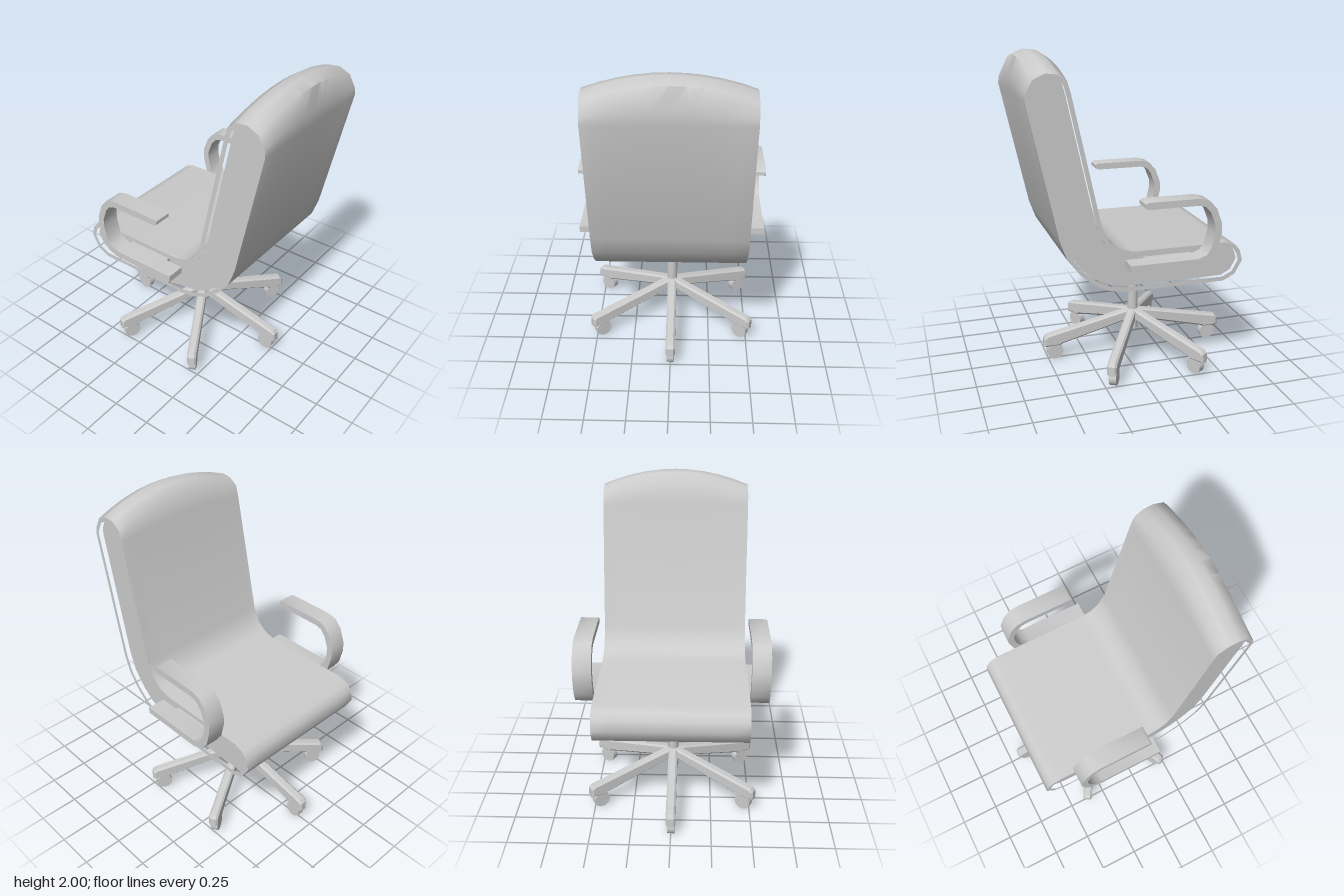
import * as THREE from 'three';
import { toCreasedNormals } from 'three/addons/utils/BufferGeometryUtils.js';

const grey = new THREE.MeshStandardMaterial({ color: 0xcccccc });
const HALF = 0.47;        // half width of the seat shell
const AXIS_Z = -0.08;     // position of the pedestal

function mesh(name, geometry) {
  const m = new THREE.Mesh(geometry, grey);
  m.name = name;
  return m;
}

// Shift every point of a polyline sideways by d, with mitred corners
function offset(pts, d, closed) {
  const n = pts.length;
  return pts.map((p, i) => {
    const a = closed || i > 0 ? pts[(i + n - 1) % n] : null;
    const b = closed || i < n - 1 ? pts[(i + 1) % n] : null;
    const normal = (s, e) => new THREE.Vector2(s.y - e.y, e.x - s.x).normalize();
    const n1 = a ? normal(a, p) : normal(p, b);
    const n2 = b ? normal(p, b) : n1;
    const m = n1.clone().add(n2).normalize();
    return p.clone().addScaledVector(m, d / m.dot(n1));
  });
}

// Extrude a (z, y) outline across x, centred on x = 0
function acrossX(outline, width, steps = 1, hole = null) {
  const shape = new THREE.Shape(outline);
  if (hole) shape.holes.push(new THREE.Path(hole));
  const g = new THREE.ExtrudeGeometry(shape, { depth: width, steps, bevelEnabled: false });
  return g.translate(0, 0, -width / 2).rotateY(-Math.PI / 2);
}

// Crown the top of the backrest: it rises towards the middle
function crown(g) {
  const p = g.attributes.position;
  for (let i = 0; i < p.count; i++) {
    const w = THREE.MathUtils.clamp((p.getY(i) - 1.755) / 0.1, 0, 1) * (1 - (p.getX(i) / HALF) ** 2);
    p.setY(i, p.getY(i) + 0.095 * w);
    p.setZ(i, p.getZ(i) + 0.018 * w);
  }
  return toCreasedNormals(g, 0.9);
}

const vec = ([x, y]) => new THREE.Vector2(x, y);

function seat() {
  const group = new THREE.Group();
  group.name = 'seat';
  // Side outline: underside, front edge, seat, backrest front, top, backrest rear
  const outline = [
    [0.51, 0.952], [0.467, 0.835], [0.39, 0.735], [0.308, 0.665], [0.217, 0.62], [0.11, 0.602],
    [-0.515, 0.602], [-0.59, 0.64], [-0.637, 0.725], [-0.62, 0.79], [-0.59, 0.828], [-0.525, 0.85],
    [0.07, 0.85], [0.155, 0.873], [0.217, 0.926], [0.26, 1.016],
    [0.43, 1.79], [0.45, 1.86], [0.505, 1.898], [0.57, 1.905], [0.64, 1.873], [0.68, 1.80], [0.685, 1.755],
  ].map(vec);
  const area = THREE.ShapeUtils.area(outline);
  const inner = offset(outline, area > 0 ? 0.027 : -0.027, true);
  group.add(mesh('seatShell', crown(acrossX(outline, HALF * 2, 10, inner))));
  // Recessed side panels
  group.add(mesh('sidePanels', crown(acrossX(inner, HALF * 2 - 0.06, 10))));
  return group;
}

function armrest(side) {
  const group = new THREE.Group();
  group.name = side > 0 ? 'leftArmrest' : 'rightArmrest';
  // Centre line of the bent strap, from the lower end round to the pad
  const line = [
    [0.122, 0.785], [-0.297, 0.785], [-0.36, 0.808], [-0.396, 0.86], [-0.417, 0.95],
    [-0.417, 1.01], [-0.385, 1.095], [-0.345, 1.14], [-0.297, 1.154], [0.02, 1.154],
  ].map(vec);
  const outline = [...offset(line, 0.021, false), vec([0.035, 1.165]), vec([0.035, 1.143]),
    ...offset(line, -0.021, false).reverse()];
  const strap = mesh('armStrap', toCreasedNormals(acrossX(outline, 0.115), 0.75));
  strap.position.x = side * 0.533;
  // Bracket between the strap and the side panel
  const bracket = mesh('armBracket', new THREE.BoxGeometry(0.05, 0.034, 0.3));
  bracket.position.set(side * 0.458, 0.785, -0.15);
  group.add(strap, bracket);
  return group;
}

function base() {
  const group = new THREE.Group();
  group.name = 'base';
  group.position.z = AXIS_Z;

  const column = mesh('column', new THREE.CylinderGeometry(0.034, 0.034, 0.5, 20));
  column.position.y = 0.4;
  group.add(column);

  // Sloping leg with softened edges and a blunt tip
  const legShape = new THREE.Shape([
    [0, 0.225], [0.49, 0.1], [0.505, 0.09], [0.61, 0.09], [0.609, 0.15], [0.59, 0.17], [0, 0.295],
  ].map(vec));
  const legGeometry = new THREE.ExtrudeGeometry(legShape, {
    depth: 0.036, bevelThickness: 0.012, bevelSize: 0.012, bevelOffset: -0.012, bevelSegments: 1,
  }).translate(0, 0, -0.018);
  const wheelGeometry = new THREE.CylinderGeometry(0.052, 0.052, 0.045, 20).rotateX(Math.PI / 2);

  for (let i = 0; i < 6; i++) {
    const leg = new THREE.Group();
    leg.name = 'leg';
    leg.rotation.y = Math.PI / 2 + (i * Math.PI) / 3;
    const wheel = mesh('caster', wheelGeometry);
    wheel.position.set(0.535, 0.053, 0);
    leg.add(mesh('legArm', legGeometry), wheel);
    group.add(leg);
  }
  return group;
}

export function createModel() {
  const model = new THREE.Group();
  model.name = 'officeChair';
  model.add(seat(), armrest(1), armrest(-1), base());
  return model;
}
